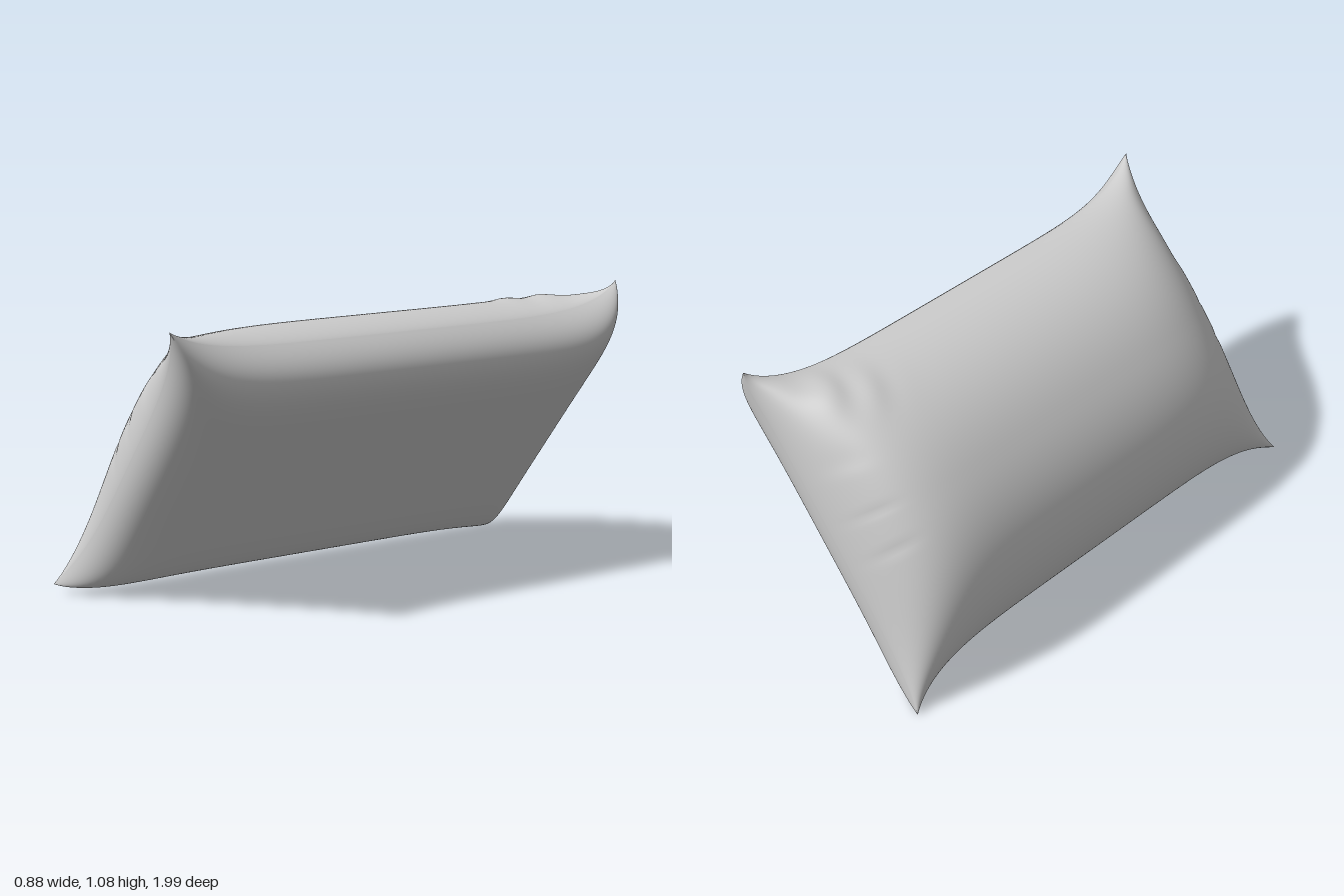
import * as THREE from 'three';

const GRID = 120;
// Tilted frame: U runs up the slope, N points out of the domed face, z runs along the cushion
const U = new THREE.Vector3(0.631, 0.776, 0);
const N = new THREE.Vector3(-0.776, 0.631, 0);
const CENTRE = new THREE.Vector3(0.005, 0.55, 0);

const swell = (a, p, q) => Math.pow(Math.max(0, 1 - Math.pow(Math.abs(a), p)), q);
const bump = (x, c, w) => Math.exp(-(((x - c) / w) ** 2));

// Seam outline: edges pulled in between pointed corners, front end more than the back
function outline(s, t) {
  const backTip = t < 0 ? Math.pow(Math.abs(s * t), 16) : 0;
  const mid = s > 0 ? 0.54 : 0.56;
  const u = s * (mid + (0.655 - mid) * Math.pow(Math.abs(t), 6)) - (s < 0 ? 0.03 * backTip : 0);
  const z = t > 0
    ? t * (0.912 + 0.085 * Math.pow(Math.abs(s), 4))
    : t * (0.97 + 0.027 * Math.pow(Math.abs(s), 4));
  return { u, z, n: backTip * (s > 0 ? 0.045 : -0.015) };
}

// Height of the domed panel, with narrow puckers at the end seams
// and folds gathered towards the upper back corner
function domeHeight(s, t) {
  const dome = 0.357 * swell(s, 2.2, 0.65) * swell(t, t > 0 ? 4.5 : 8, 0.6);
  const pinch = Math.pow(Math.max(0, Math.sin(13 * s + 3 * Math.sin(5 * s))), 4);
  const puckers = -0.01 * pinch * bump(Math.abs(t), 0.95, 0.06);
  const folds = bump(s, 0.82, 0.18) * bump(t, -0.78, 0.13)
    * (0.012 + 0.009 * Math.sin(38 * (t - 0.35 * s)));
  return dome + (puckers + folds) * swell(s, 8, 0.5) * swell(t, 8, 0.5);
}

// Height of the flat underside with its steep rounded rim
const baseHeight = (s, t) =>
  -0.192 * swell(s, 8, 0.42) * swell(t, t > 0 ? 9 : 14, 0.45);

// One sewn panel: a plane bent by the outline and a height rule
function panel(height, flip) {
  const geometry = new THREE.PlaneGeometry(2, 2, GRID, GRID);
  const pos = geometry.attributes.position;
  const point = new THREE.Vector3();
  for (let i = 0; i < pos.count; i++) {
    // Sine spacing packs rows towards the seam where the cloth turns
    const s = Math.sin(pos.getX(i) * Math.PI / 2);
    const t = Math.sin(pos.getY(i) * Math.PI / 2) * flip;
    const { u, z, n } = outline(s, t);
    point.copy(CENTRE).addScaledVector(U, u).addScaledVector(N, n + height(s, t));
    pos.setXYZ(i, point.x, point.y, z);
  }
  geometry.computeVertexNormals();
  return geometry;
}

export function createModel() {
  const group = new THREE.Group();
  group.name = 'cushion';
  const material = new THREE.MeshStandardMaterial({ color: 0xcccccc, side: THREE.DoubleSide });

  const domedPanel = new THREE.Mesh(panel(domeHeight, -1), material);
  domedPanel.name = 'domedPanel';
  const flatPanel = new THREE.Mesh(panel(baseHeight, 1), material);
  flatPanel.name = 'flatPanel';
  group.add(domedPanel, flatPanel);

  // Rest the lowest corner on the ground and centre the footprint
  const box = new THREE.Box3().setFromObject(group);
  const centre = box.getCenter(new THREE.Vector3());
  for (const mesh of group.children) mesh.geometry.translate(-centre.x, -box.min.y, -centre.z);
  return group;
}
